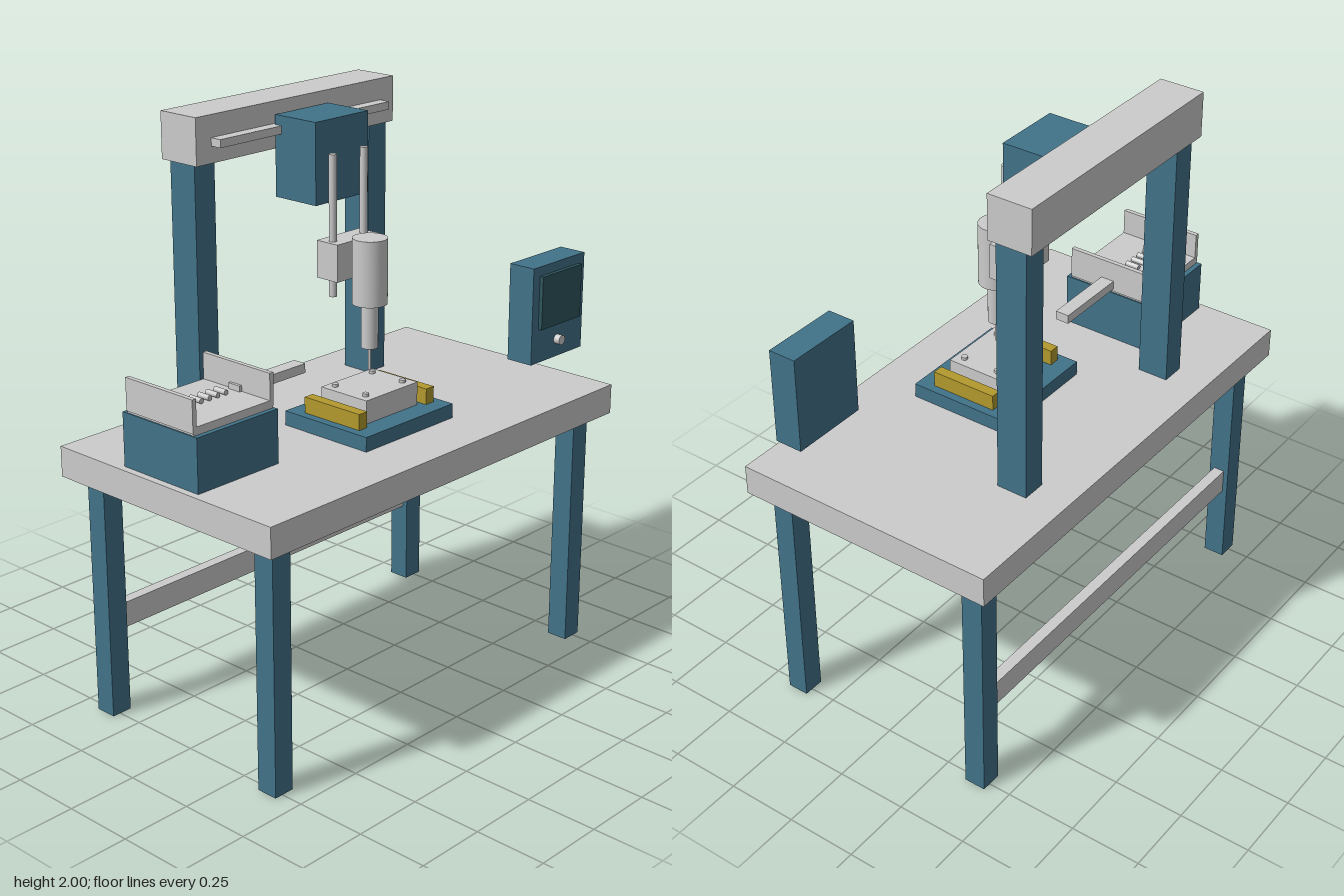
import * as THREE from 'three';

const mat = (color) => new THREE.MeshStandardMaterial({ color });

export function createModel() {
  const model = new THREE.Group();
  const grey = mat(0xcccccc), blue = mat(0x417288), yellow = mat(0xb39a2e), glass = mat(0x2f555e);

  // Box given by its extents on each axis
  const box = (name, material, [x0, x1], [y0, y1], [z0, z1]) => {
    const mesh = new THREE.Mesh(new THREE.BoxGeometry(x1 - x0, y1 - y0, z1 - z0), material);
    mesh.position.set((x0 + x1) / 2, (y0 + y1) / 2, (z0 + z1) / 2);
    mesh.name = name;
    model.add(mesh);
  };
  // Upright cylinder between two heights
  const rod = (name, material, r, x, z, y0, y1, sides = 24) => {
    const mesh = new THREE.Mesh(new THREE.CylinderGeometry(r, r, y1 - y0, sides), material);
    mesh.position.set(x, (y0 + y1) / 2, z);
    mesh.name = name;
    model.add(mesh);
  };
  // Cylinder lying along z
  const pin = (name, material, r, x, y, z0, z1) => {
    const mesh = new THREE.Mesh(new THREE.CylinderGeometry(r, r, z1 - z0, 20), material);
    mesh.rotation.x = Math.PI / 2;
    mesh.position.set(x, y, (z0 + z1) / 2);
    mesh.name = name;
    model.add(mesh);
  };
  const around = (c, half) => [c - half, c + half];

  // Table
  box('tableTop', grey, [-0.84, 0.84], [0.85, 0.955], [-0.475, 0.475]);
  for (const sx of [-1, 1])
    for (const sz of [-1, 1])
      box('tableLeg', blue, around(sx * 0.742, 0.038), [0, 0.85], around(sz * 0.382, 0.038));
  box('stretcher', grey, [-0.705, 0.705], [0.295, 0.385], around(-0.382, 0.02));

  // Gantry
  for (const s of [-1, 1])
    box('gantryPost', blue, around(s * 0.404, 0.043), [0.955, 1.845], [-0.345, -0.235]);
  box('gantryBeam', grey, [-0.458, 0.458], [1.845, 2], [-0.372, -0.213]);
  box('linearRail', grey, [-0.393, 0.393], [1.9, 1.927], [-0.213, -0.172]);

  // Sliding head with guide rods and spindle
  box('headHousing', blue, [-0.123, 0.123], [1.69, 1.96], [-0.2, -0.022]);
  for (const s of [-1, 1])
    rod('guideRod', grey, 0.013, s * 0.073, 0.005, 1.385, 1.855);
  box('spindleCarriage', grey, [-0.1, 0.1], [1.445, 1.57], [-0.04, 0.05]);
  rod('spindleMotor', grey, 0.058, 0, 0.1, 1.365, 1.585, 40);
  rod('chuck', grey, 0.028, 0, 0.1, 1.215, 1.365, 32);
  rod('drillBit', grey, 0.005, 0, 0.1, 1.137, 1.215, 12);

  // Work fixture
  box('fixtureBase', blue, [-0.213, 0.213], [0.955, 1.005], [-0.08, 0.28]);
  box('workpiece', grey, [-0.125, 0.125], [1.005, 1.085], [0, 0.2]);
  for (const s of [-1, 1]) {
    box('clampBar', yellow, around(s * 0.164, 0.019), [1.005, 1.06], [-0.02, 0.222]);
    for (const z of [0.03, 0.165])
      rod('screw', grey, 0.011, s * 0.09, z, 1.085, 1.095, 16);
  }

  // Parts feeder
  box('feederBase', blue, [-0.815, -0.47], [0.955, 1.138], [-0.193, 0.142]);
  box('feederTray', grey, [-0.81, -0.475], [1.138, 1.165], [-0.175, 0.125]);
  for (const x of [-0.806, -0.479])
    box('traySide', grey, around(x, 0.008), [1.145, 1.255], [-0.175, 0.125]);
  for (let i = 0; i < 7; i++)
    pin('feederPin', grey, 0.009, -0.755 + i * 0.035, 1.174, -0.06, -0.01);
  box('feederChute', grey, [-0.497, -0.2], [1.153, 1.185], [-0.05, 0]);

  // Control panel
  box('controlPanel', blue, [0.52, 0.8], [1.08, 1.42], [0.265, 0.365]);
  box('panelScreen', glass, [0.555, 0.77], [1.2, 1.387], [0.365, 0.379]);
  pin('panelKnob', grey, 0.017, 0.66, 1.142, 0.365, 0.388);

  return model;
}
